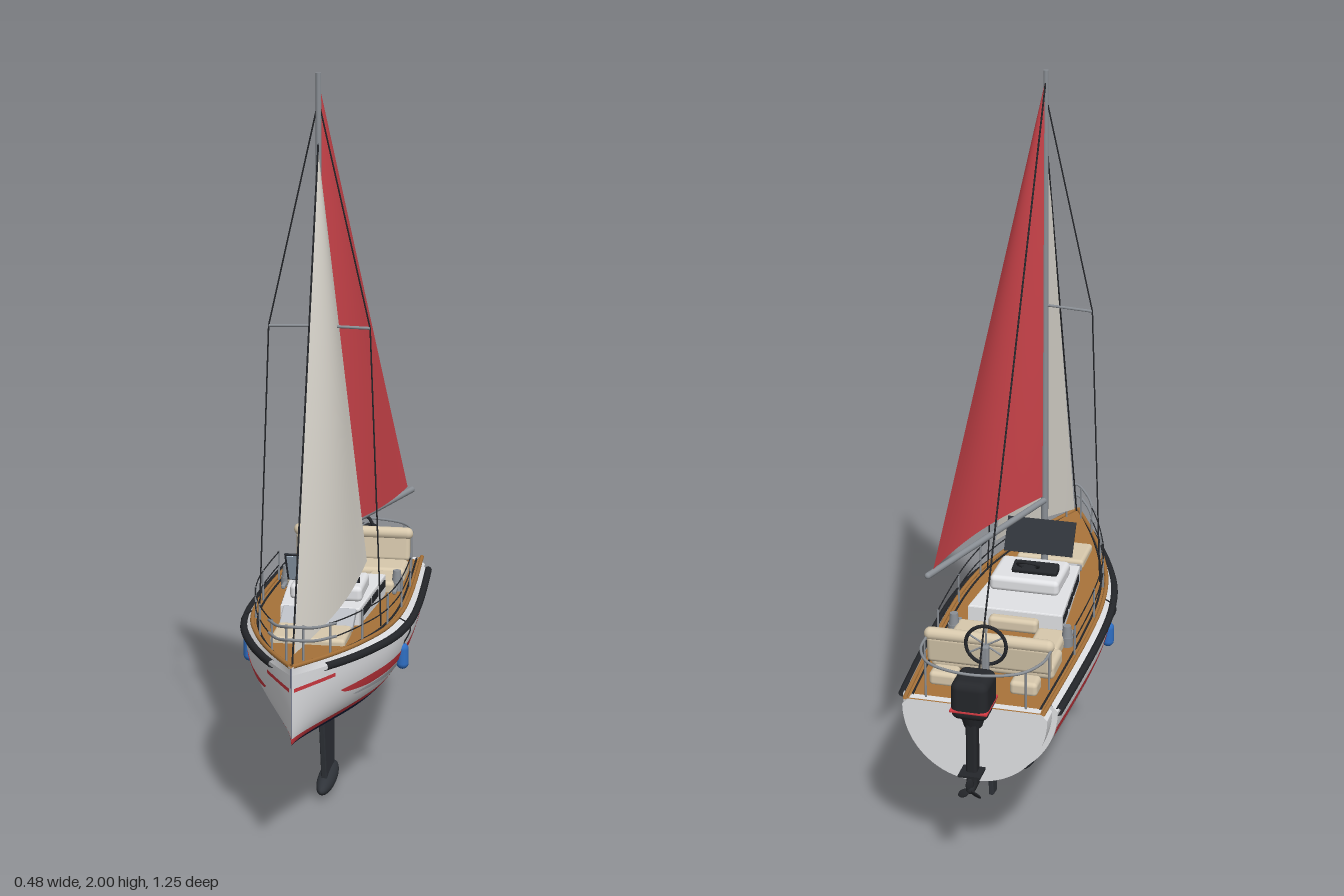
import * as THREE from 'three';
import { RoundedBoxGeometry } from 'three/addons/geometries/RoundedBoxGeometry.js';

const C = { white: 0xe2e3e6, red: 0xd23a42, navy: 0x1b2340, wood: 0xa8733a, dark: 0x25272b, steel: 0x8b9096,
  beige: 0xd8c9ad, blue: 0x2f6fc4, grey: 0xb9bcc2, keel: 0x30343a, sail: 0xdfdbd2, mainsail: 0xd0454c };

export function createModel() {
  const boat = new THREE.Group();
  boat.name = 'sailboat';

  // ---- helpers ----
  const add = (name, geo, color, pos = [0, 0, 0], rot = [0, 0, 0], double = false) => {
    const m = new THREE.Mesh(geo, new THREE.MeshStandardMaterial({ color, side: double ? THREE.DoubleSide : THREE.FrontSide }));
    m.name = name;
    m.position.set(...pos);
    m.rotation.set(...rot);
    boat.add(m);
    return m;
  };
  const box = (name, color, size, pos, r = 0, rot) =>
    add(name, r ? new RoundedBoxGeometry(...size, 3, r) : new THREE.BoxGeometry(...size), color, pos, rot);
  const cyl = (name, color, r1, r2, h, pos, rot) => add(name, new THREE.CylinderGeometry(r1, r2, h, 16), color, pos, rot);
  const tube = (name, color, pts, r, sides = 8) => {
    const v = pts.map(p => new THREE.Vector3(...p));
    const curve = v.length === 2 ? new THREE.LineCurve3(...v) : new THREE.CatmullRomCurve3(v);
    return add(name, new THREE.TubeGeometry(curve, v.length === 2 ? 1 : v.length * 6, r, sides), color, undefined, undefined, true);
  };
  // smooth sheet from a rule (u, v) -> [x, y, z]
  const sheet = (name, color, nu, nv, fn) => {
    const pos = [], idx = [];
    for (let i = 0; i <= nu; i++) for (let j = 0; j <= nv; j++) {
      pos.push(...fn(i / nu, j / nv));
      if (i < nu && j < nv) {
        const a = i * (nv + 1) + j, b = a + nv + 1;
        idx.push(a, b, a + 1, b, b + 1, a + 1);
      }
    }
    const g = new THREE.BufferGeometry();
    g.setAttribute('position', new THREE.Float32BufferAttribute(pos, 3));
    g.setIndex(idx);
    g.computeVertexNormals();
    return add(name, g, color, undefined, undefined, true);
  };
  const rule = (zs, vs) => {
    const f = new THREE.CubicInterpolant(new Float32Array(zs), new Float32Array(vs), 1);
    return z => f.evaluate(z)[0];
  };
  const mirror = fn => [1, -1].forEach(fn);

  // ---- hull lines ----
  const beam = rule([-0.57, -0.3, -0.1, 0.05, 0.2, 0.3, 0.4, 0.5, 0.56, 0.625], [0.207, 0.222, 0.229, 0.226, 0.204, 0.172, 0.13, 0.078, 0.042, 0.001]);
  const keelLine = rule([-0.57, -0.3, 0, 0.2, 0.4, 0.625], [0.265, 0.25, 0.25, 0.27, 0.302, 0.34]);
  const sheer = rule([-0.57, 0, 0.4, 0.625], [0.497, 0.515, 0.532, 0.548]);
  const widest = z => sheer(z) - 0.022;
  const deckHalf = z => beam(z) * 0.9;
  const hullX = (z, y) => {
    const t = Math.min(1, Math.max(0, (y - keelLine(z)) / (widest(z) - keelLine(z))));
    return beam(z) * Math.sqrt(1 - (1 - t) ** 2);
  };
  // coloured band of hull plating between two heights
  const band = (name, color, z0, z1, lo, hi, out = 0, nv = 10) => mirror(s => sheet(name, color, 44, nv, (u, v) => {
    const z = z0 + (z1 - z0) * u, k = keelLine(z);
    const a = Math.max(k, lo(z)), b = Math.max(k, hi(z)), y = a + (b - a) * v * v;
    return [s * (hullX(z, y) + out), y, z];
  }));
  const Z0 = -0.51, Z1 = 0.625;
  band('bottomPaint', C.navy, Z0, Z1, keelLine, () => 0.34, 0, 14);
  band('waterline', C.red, Z0, Z1, () => 0.34, () => 0.356, 0, 3);
  band('topsides', C.white, Z0, Z1, () => 0.356, widest);
  const taper = (z, z1, len) => Math.sqrt(Math.min(1, Math.max(0, (z1 - z) / len)));
  band('redStripe', C.red, Z0, 0.45, z => 0.432 - 0.03 * taper(z, 0.45, 0.15), () => 0.432, 0.002, 3);
  band('greyStripe', C.grey, Z0, 0.38, z => 0.398 - 0.028 * taper(z, 0.38, 0.5), () => 0.398, 0.002, 3);
  band('bowStripe', C.red, 0.48, 0.62, () => 0.48, () => 0.49, 0.002, 2);
  mirror(s => {
    sheet('gunwale', C.white, 44, 2, (u, v) => {
      const z = Z0 + (Z1 - Z0) * u;
      return [s * beam(z) * (1 - 0.1 * v), widest(z) + 0.022 * v, z];
    });
    const along = (z0, z1, fn) => Array.from({ length: 16 }, (_, i) => fn(z0 + (z1 - z0) * i / 15));
    tube('rubRail', C.dark, along(-0.51, 0.52, z => [s * (beam(z) + 0.002), widest(z), z]), 0.011);
    tube('toeRail', C.wood, along(-0.57, 0.622, z => [s * deckHalf(z), sheer(z) + 0.002, z]), 0.006);
    tube('deckTrack', C.dark, along(-0.55, 0.6, z => [s * deckHalf(z) * 0.92, sheer(z) + 0.001, z]), 0.003);
    // guard wires and stanchions
    for (const h of [0.045, 0.085])
      tube('guardWire', C.dark, along(-0.24, 0.48, z => [s * deckHalf(z) * 0.95, sheer(z) + h, z]), 0.0018, 5);
    for (const z of [-0.24, -0.02, 0.16, 0.33, 0.48])
      tube('stanchion', C.steel, [[s * deckHalf(z) * 0.95, sheer(z), z], [s * deckHalf(z) * 0.95, sheer(z) + 0.088, z]], 0.003);
    for (const [x, z] of [[0.17, -0.44], [0.135, -0.55]])
      tube('sternPost', C.steel, [[s * x, 0.495, z], [s * x, 0.605, z]], 0.003);
    tube('bowPost', C.steel, [[s * 0.022, 0.54, 0.57], [s * 0.022, 0.643, 0.57]], 0.003);
  });
  sheet('deck', C.wood, 44, 4, (u, v) => {
    const z = -0.57 + 1.195 * u;
    return [deckHalf(z) * (2 * v - 1), sheer(z), z];
  });

  // ---- transom ----
  const section = (z, sx, lift) => {
    const pts = [];
    const k = keelLine(z), w = widest(z);
    for (let i = -24; i <= 24; i++) {
      const a = i / 24 * Math.PI / 2;
      pts.push(new THREE.Vector2(beam(z) * sx * Math.sin(a), w - (w - k - lift) * Math.cos(a)));
    }
    pts.push(new THREE.Vector2(deckHalf(z) * sx, sheer(z) - 0.001), new THREE.Vector2(-deckHalf(z) * sx, sheer(z) - 0.001));
    return new THREE.Shape(pts);
  };
  add('hullEnd', new THREE.ShapeGeometry(section(Z0, 1, 0)), C.white, [0, 0, Z0], undefined, true);
  add('transom', new THREE.ExtrudeGeometry(section(Z0, 0.93, 0.012), { depth: 0.055, bevelEnabled: false }), C.white, [0, 0, -0.565]);

  // ---- keel and rudder ----
  const blade = (name, pts, t) => {
    const g = new THREE.ExtrudeGeometry(new THREE.Shape(pts.map(p => new THREE.Vector2(-p[0], p[1]))),
      { depth: t, bevelSize: 0.004, bevelThickness: 0.003, bevelSegments: 2 });
    add(name, g.translate(0, 0, -t / 2).rotateY(Math.PI / 2), C.keel);
  };
  blade('keelFin', [[0.17, 0.28], [-0.01, 0.27], [-0.012, 0.04], [0.115, 0.04]], 0.01);
  blade('rudder', [[-0.36, 0.27], [-0.41, 0.27], [-0.4, 0.14], [-0.37, 0.135]], 0.008);
  add('keelBulb', new THREE.SphereGeometry(1, 24, 16), C.keel, [0, 0.027, 0.057]).scale.set(0.026, 0.027, 0.118);

  // ---- cabin ----
  const plan = new THREE.Shape([[-0.13, 0.14], [0.13, 0.14], [0.105, -0.18], [-0.105, -0.18]].map(p => new THREE.Vector2(...p)));
  add('cabin', new THREE.ExtrudeGeometry(plan, { depth: 0.062, bevelSize: 0.004, bevelThickness: 0.004, bevelSegments: 2 }).rotateX(-Math.PI / 2), C.white, [0, 0.504, 0]);
  mirror(s => [[0.1, 0.1], [0, 0.07], [-0.09, 0.07]].forEach(([z, l]) =>
    box('cabinWindow', C.dark, [0.006, 0.02, l], [s * (0.123 - 0.078 * (z + 0.0)), 0.548, z], 0, [0, -s * 0.078, 0])));
  box('raisedRoof', C.white, [0.2, 0.045, 0.155], [0.005, 0.588, 0.048], 0.014);
  box('dashboard', C.dark, [0.13, 0.025, 0.045], [-0.015, 0.617, 0.033], 0.006, [-0.3, 0, 0]);
  add('helmWheel', new THREE.TorusGeometry(0.03, 0.004, 8, 24), C.dark, [0, 0.64, 0.005], [-0.9, 0, 0]);
  box('windscreen', C.keel, [0.2, 0.1, 0.005], [0, 0.667, 0.145], 0, [0.53, 0, 0]);
  box('windscreenGlass', 0xb4c8da, [0.188, 0.09, 0.002], [0, 0.665, 0.149], 0, [0.53, 0, 0]);
  box('frontSlope', C.grey, [0.2, 0.02, 0.075], [0, 0.547, 0.217], 0.004, [0.45, 0, 0]);
  box('foredeckCushion', C.beige, [0.2, 0.03, 0.13], [0, 0.533, 0.326], 0.01);

  // ---- cockpit ----
  box('companionCushion', C.beige, [0.14, 0.04, 0.035], [0, 0.535, -0.155], 0.012);
  box('bench', C.beige, [0.34, 0.045, 0.11], [0, 0.522, -0.335], 0.014);
  box('benchBack', C.beige, [0.34, 0.08, 0.028], [0, 0.572, -0.413], 0.012, [-0.1, 0, 0]);
  add('benchBackRoll', new THREE.CapsuleGeometry(0.018, 0.32, 6, 16), C.beige, [0, 0.614, -0.415], [0, 0, Math.PI / 2]);
  mirror(s => {
    box('sideSeat', C.beige, [0.085, 0.04, 0.12], [s * 0.112, 0.52, -0.222], 0.012);
    box('aftSeat', C.beige, [0.075, 0.04, 0.06], [s * 0.11, 0.515, -0.455], 0.012);
    cyl('winchDrum', C.steel, 0.011, 0.015, 0.035, [s * 0.16, 0.55, -0.193]);
    cyl('winchBase', C.steel, 0.017, 0.017, 0.03, [s * 0.16, 0.52, -0.193]);
    box('cleat', C.steel, [0.012, 0.012, 0.04], [s * 0.16, 0.52, -0.15], 0.004);
    // fenders
    add('fender', new THREE.CapsuleGeometry(0.017, 0.04, 6, 16), C.blue, [s * 0.214, 0.41, 0.09]);
    tube('fenderLine', C.dark, [[s * 0.214, 0.44, 0.09], [s * 0.235, 0.495, 0.09], [s * 0.2, 0.522, 0.09]], 0.002, 5);
  });
  box('wheelPedestal', C.steel, [0.02, 0.12, 0.02], [0, 0.555, -0.45], 0.006);
  add('steeringWheel', new THREE.TorusGeometry(0.055, 0.005, 8, 32), C.dark, [0, 0.613, -0.445]);
  for (let i = 0; i < 3; i++) cyl('wheelSpoke', C.steel, 0.0025, 0.0025, 0.11, [0, 0.613, -0.445], [0, 0, i * Math.PI / 3]);
  tube('sternRail', C.steel, [[0.17, 0.605, -0.42], [0.165, 0.605, -0.49], [0.12, 0.605, -0.565], [0, 0.605, -0.6],
    [-0.12, 0.605, -0.565], [-0.165, 0.605, -0.49], [-0.17, 0.605, -0.42]], 0.004);
  for (const dy of [0, -0.035]) tube('bowRail', C.steel, [[0.088, 0.617 + dy, 0.46], [0.045, 0.632 + dy, 0.55], [0, 0.645 + dy, 0.592],
    [-0.045, 0.632 + dy, 0.55], [-0.088, 0.617 + dy, 0.46]], 0.004);

  // ---- outboard motor ----
  box('motorCowl', C.dark, [0.1, 0.11, 0.112], [0, 0.533, -0.568], 0.022);
  box('motorTrim', C.red, [0.102, 0.008, 0.114], [0, 0.505, -0.568], 0.003);
  cyl('motorNeck', C.dark, 0.036, 0.024, 0.04, [0, 0.465, -0.575]);
  box('motorLeg', C.dark, [0.03, 0.2, 0.036], [0, 0.37, -0.583], 0.008);
  box('motorPlate', C.dark, [0.06, 0.006, 0.07], [0, 0.315, -0.587]);
  add('gearCase', new THREE.CapsuleGeometry(0.013, 0.045, 6, 12), C.dark, [0, 0.272, -0.585], [Math.PI / 2, 0, 0]);
  for (let i = 0; i < 3; i++) {
    const a = i * Math.PI * 2 / 3;
    const b = add('propellerBlade', new THREE.SphereGeometry(1, 10, 8), C.dark, [-0.018 * Math.sin(a), 0.272 + 0.018 * Math.cos(a), -0.616]);
    b.rotation.set(0, 0.6, a, 'ZYX');
    b.scale.set(0.011, 0.018, 0.003);
  }

  // ---- mast, boom and rigging ----
  cyl('mast', C.steel, 0.007, 0.011, 1.46, [0, 1.27, 0.198]);
  tube('boom', C.steel, [[0, 0.76, 0.19], [0.178, 0.76, -0.372]], 0.009, 12);
  add('boomEnd', new THREE.SphereGeometry(0.009, 12, 8), C.steel, [0.178, 0.76, -0.372]);
  tube('forestay', C.dark, [[0, 0.55, 0.608], [0, 1.83, 0.2]], 0.0025, 5);
  tube('backstay', C.dark, [[0, 1.97, 0.195], [0, 0.5, -0.55]], 0.0025, 5);
  mirror(s => {
    tube('spreader', C.steel, [[0, 1.345, 0.198], [s * 0.135, 1.34, 0.19]], 0.004);
    tube('upperShroud', C.dark, [[0, 1.93, 0.198], [s * 0.135, 1.34, 0.19]], 0.0022, 5);
    tube('lowerShroud', C.dark, [[s * 0.135, 1.34, 0.19], [s * 0.167, 0.525, 0.185]], 0.0022, 5);
  });

  // ---- sails: u runs from luff to leech, v from foot to head ----
  const sail = (name, color, tack, clew, head, belly) => sheet(name, color, 20, 30, (u, v) => {
    const p = [0, 1, 2].map(i => {
      const foot = tack[i] + (clew[i] - tack[i]) * u;
      return foot + (head[i] - foot) * v;
    });
    p[0] += belly * Math.sin(Math.PI * u) * (1 - v) * (0.6 + 1.2 * v);
    return p;
  });
  sail('mainsail', C.mainsail, [0.004, 0.772, 0.188], [0.168, 0.772, -0.355], [0.002, 1.965, 0.192], 0.045);
  sail('jib', C.sail, [0, 0.568, 0.578], [0.112, 0.672, 0.075], [0, 1.81, 0.208], 0.04);

  return boat;
}
